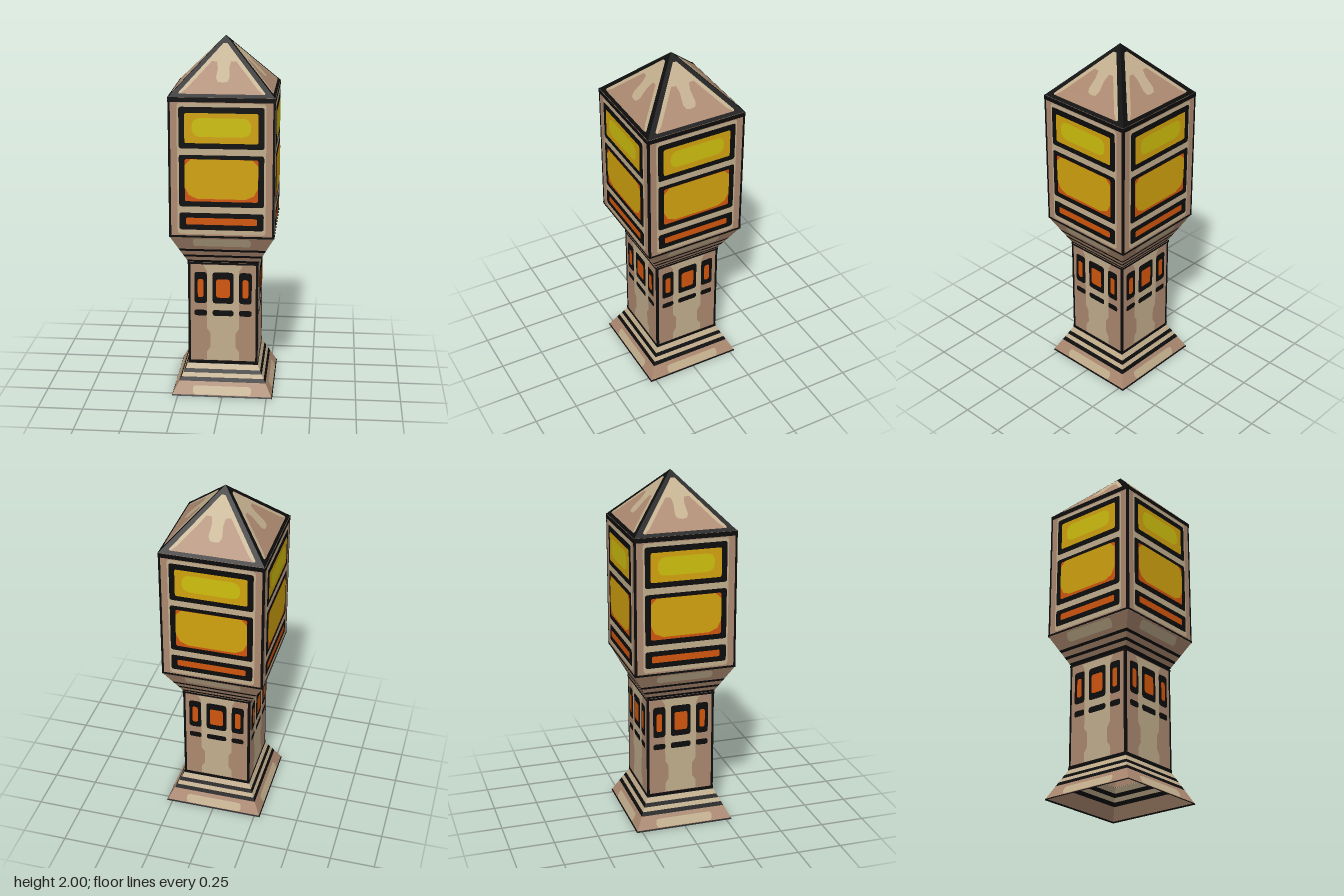
import * as THREE from 'three';

const mat = (name, color) => {
  const m = new THREE.MeshStandardMaterial({ color, side: THREE.DoubleSide });
  m.name = name;
  return m;
};

// Tower silhouette: [height, half width]
const PROFILE = [[0, 0.283], [0.167, 0.197], [0.1671, 0.193], [0.77, 0.193], [0.94, 0.283], [1.71, 0.283], [2, 0]];

function halfAt(y) {
  for (let i = 1; i < PROFILE.length; i++) {
    const [y0, h0] = PROFILE[i - 1], [y1, h1] = PROFILE[i];
    if (y <= y1) return h0 + (h1 - h0) * (y - y0) / (y1 - y0);
  }
  return 0;
}

export function createModel() {
  const black = mat('black outline', 0x0c0c0c);
  const light = mat('light stone', 0xc2ae8d);
  const mid = mat('brown stone', 0xac8970);
  const orange = mat('orange glass', 0xd2560e);
  const amber = mat('amber glass', 0xd2a30e);
  const yellow = mat('yellow glass', 0xd0c00e);

  const model = new THREE.Group();
  model.name = 'tower';

  // Open four-sided band following the silhouette
  function band(name, y0, y1, material, grow = 0) {
    const r = Math.SQRT2;
    let g = new THREE.CylinderGeometry((halfAt(y1) + grow) * r, (halfAt(y0) + grow) * r, y1 - y0, 4, 1, true);
    g.rotateY(Math.PI / 4).translate(0, (y0 + y1) / 2, 0);
    g = g.toNonIndexed();
    g.computeVertexNormals();
    const mesh = new THREE.Mesh(g, material);
    mesh.name = name;
    model.add(mesh);
  }

  // Flat painted shape laid on all four sides; shape y is the height
  function decal(name, shape, material, layer = 1) {
    const g = new THREE.ShapeGeometry(shape, 6);
    const p = g.attributes.position;
    for (let i = 0; i < p.count; i++) p.setZ(i, halfAt(p.getY(i)) + 0.002 * layer);
    g.computeVertexNormals();
    for (let k = 0; k < 4; k++) {
      const mesh = new THREE.Mesh(g, material);
      mesh.name = name;
      mesh.rotation.y = k * Math.PI / 2;
      model.add(mesh);
    }
  }

  // Rounded rectangle
  function rect(x0, x1, y0, y1, r = 0.001) {
    const s = new THREE.Shape();
    s.moveTo(x0 + r, y0);
    s.lineTo(x1 - r, y0).quadraticCurveTo(x1, y0, x1, y0 + r);
    s.lineTo(x1, y1 - r).quadraticCurveTo(x1, y1, x1 - r, y1);
    s.lineTo(x0 + r, y1).quadraticCurveTo(x0, y1, x0, y1 - r);
    s.lineTo(x0, y0 + r).quadraticCurveTo(x0, y0, x0 + r, y0);
    return s;
  }

  const poly = pts => new THREE.Shape(pts.map(([x, y]) => new THREE.Vector2(x, y)));

  // Flared base with stripes, open underneath
  band('baseEdge', 0, 0.008, black);
  band('baseSkirt', 0.008, 0.077, mid);
  band('baseStripe', 0.077, 0.098, black);
  band('baseCourse', 0.098, 0.12, light);
  band('baseStripe', 0.12, 0.14, black);
  band('baseCourse', 0.14, 0.167, light);
  decal('baseHighlight', rect(-0.165, 0.165, 0.012, 0.056, 0.02), light);

  // Column
  band('column', 0.1671, 0.77, mid);
  band('columnFoot', 0.168, 0.188, black, 0.004);
  band('columnTop', 0.758, 0.77, black, 0.004);
  decal('columnHighlight', poly([[-0.09, 0.19], [0.09, 0.19], [0.09, 0.24], [0.07, 0.27], [0.07, 0.35],
    [0.09, 0.38], [0.09, 0.72], [0.11, 0.755], [-0.11, 0.755], [-0.09, 0.72], [-0.09, 0.38],
    [-0.07, 0.35], [-0.07, 0.27], [-0.09, 0.24]]), light);
  for (const s of [-1, 1]) {
    const a = s * 0.182, b = s * 0.195;
    decal('columnCorner', rect(Math.min(a, b), Math.max(a, b), 0.17, 0.77), black);
  }

  // Small windows and slots beneath them
  for (const [x, w, glass] of [[-0.125, 0.035, 0.016], [0, 0.058, 0.038], [0.125, 0.035, 0.016]]) {
    decal('smallWindowFrame', rect(x - w, x + w, 0.53, 0.713, 0.018), black, 2);
    decal('smallWindowGlass', rect(x - glass, x + glass, 0.565, 0.673, 0.014), orange, 3);
    decal('slot', rect(x - w, x + w, 0.456, 0.49, 0.014), black, 2);
  }

  // Flare between column and lantern, with dark grooves
  const grooves = [0.77, 0.806, 0.846];
  grooves.forEach((y, i) => {
    band('flareGroove', y, y + 0.014, black);
    band('flareCourse', y + 0.014, grooves[i + 1] ?? 0.94, mid);
  });
  decal('flareHighlight', rect(-0.158, 0.158, 0.882, 0.932, 0.02), light);

  // Lantern box
  band('lantern', 0.94, 1.71, mid);
  band('lanternFoot', 0.94, 0.952, black, 0.003);
  band('lanternTop', 1.685, 1.71, black, 0.003);
  decal('lanternHighlight', rect(-0.238, 0.238, 0.96, 1.68, 0.02), light);
  for (const s of [-1, 1]) {
    const a = s * 0.273, b = s * 0.285;
    decal('lanternCorner', rect(Math.min(a, b), Math.max(a, b), 0.94, 1.71), black);
  }

  // Large windows
  decal('upperWindowFrame', rect(-0.228, 0.228, 1.435, 1.66, 0.015), black, 2);
  decal('upperWindowGlass', rect(-0.197, 0.197, 1.465, 1.628, 0.012), amber, 3);
  decal('upperWindowGlow', rect(-0.158, 0.158, 1.5, 1.602, 0.05), yellow, 4);
  decal('middleWindowFrame', rect(-0.228, 0.228, 1.115, 1.4, 0.015), black, 2);
  decal('middleWindowRim', rect(-0.197, 0.197, 1.145, 1.378, 0.012), orange, 3);
  decal('middleWindowGlass', poly([[-0.13, 1.16], [0.13, 1.16], [0.175, 1.18], [0.197, 1.225], [0.197, 1.345],
    [0.165, 1.378], [-0.165, 1.378], [-0.197, 1.345], [-0.197, 1.225], [-0.175, 1.18]]), amber, 4);
  decal('lowerWindowFrame', rect(-0.228, 0.228, 0.985, 1.08, 0.015), black, 2);
  decal('lowerWindowGlass', rect(-0.192, 0.192, 1.015, 1.053, 0.01), orange, 3);

  // Pyramid roof: black hips, light panels and brown lower areas (x, distance from axis)
  const roof = pts => poly(pts.map(([x, r]) => [x, 2 - r * 0.29 / 0.283]));
  band('roof', 1.71, 2, black);
  decal('roofPanel', roof([[-0.01, 0.037], [0.01, 0.037], [0.23, 0.262], [0.226, 0.267], [-0.226, 0.267], [-0.23, 0.262]]), light);
  decal('roofShade', roof([[0, 0.215], [0.025, 0.212], [0.036, 0.195], [0.03, 0.15], [0.037, 0.122], [0.065, 0.12],
    [0.19, 0.246], [0.222, 0.267], [-0.222, 0.267], [-0.19, 0.246], [-0.065, 0.12], [-0.037, 0.122],
    [-0.03, 0.15], [-0.036, 0.195], [-0.025, 0.212]]), mid, 2);

  return model;
}
